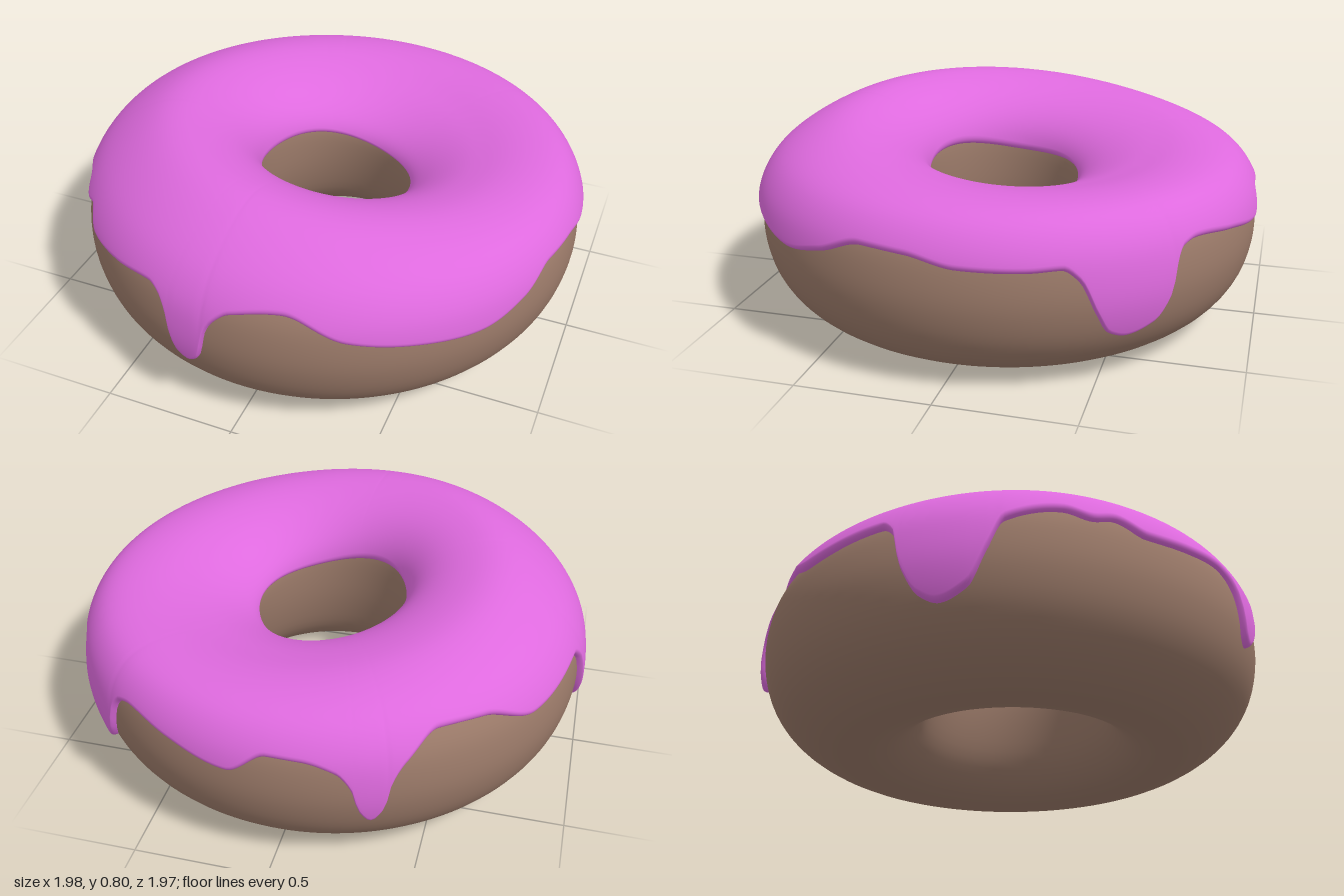
import * as THREE from 'three';

const { lerp, smoothstep } = THREE.MathUtils;
const RAD = Math.PI / 180, COLS = 480;

// dough cross-section (radius, height), counter-clockwise from the hole
const section = [
  [0.313, 0.42], [0.333, 0.26], [0.385, 0.12], [0.48, 0.03], [0.6, 0.003], [0.73, 0.02],
  [0.86, 0.1], [0.935, 0.2], [0.97, 0.32], [0.97, 0.43], [0.945, 0.53], [0.885, 0.612],
  [0.785, 0.668], [0.65, 0.695], [0.5, 0.668], [0.385, 0.605], [0.325, 0.53],
];
const N = section.length;
const profile = new THREE.CatmullRomCurve3(section.map(([r, y]) => new THREE.Vector3(r, y, 0)), true);

// lower edge of the icing: azimuth in degrees (0 = front, 90 = left side), height
const edge = [
  [-20, 0.525], [-17, 0.505], [-14.5, 0.45], [-13, 0.35], [-11.8, 0.3], [-9.5, 0.275], [-7.3, 0.3],
  [-6.2, 0.35], [-5, 0.44], [-3, 0.49], [0, 0.525], [11, 0.555], [24, 0.475], [38, 0.44], [52, 0.42],
  [64, 0.46], [74, 0.515], [84, 0.51], [95, 0.48], [108, 0.475], [115, 0.48], [118.5, 0.44],
  [122, 0.32], [125, 0.24], [129, 0.218], [135, 0.25], [138, 0.33], [140, 0.45], [142, 0.49],
  [146, 0.505], [158, 0.48], [172, 0.445], [180, 0.52], [187, 0.515], [194, 0.48], [197, 0.42],
  [198.5, 0.33], [201, 0.275], [203.5, 0.33], [205, 0.43], [208, 0.5], [216, 0.58], [227, 0.57],
  [240, 0.5], [261, 0.525], [264.5, 0.48], [267, 0.33], [270, 0.24], [274, 0.21], [280, 0.25],
  [284, 0.38], [287, 0.49], [299, 0.55], [305, 0.52], [310, 0.54], [317, 0.49], [329, 0.505], [340, 0.525],
];

// chord slope between edge points, and a slope at each point that never overshoots
const chord = i => (edge[i + 1][1] - edge[i][1]) / (edge[i + 1][0] - edge[i][0]);
const slopes = edge.map((_, i) => {
  if (i === 0 || i === edge.length - 1) return 0;
  const a = chord(i - 1), b = chord(i);
  return a * b > 0 ? (2 * a * b) / (a + b) : 0;
});

function edgeHeight(deg) {
  const d = deg >= 340 ? deg - 360 : deg;
  const i = edge.findIndex(([a], k) => k > 0 && d <= a);
  const [a0, y0] = edge[i - 1], [a1, y1] = edge[i];
  const w = a1 - a0, s = (d - a0) / w, s2 = s * s, s3 = s2 * s;
  return y0 * (2 * s3 - 3 * s2 + 1) + y1 * (3 * s2 - 2 * s3)
    + w * (slopes[i - 1] * (s3 - 2 * s2 + s) + slopes[i] * (s3 - s2));
}

// the crown is tallest at the front right and sinks to the back left
const lift = (r, y, a) =>
  y + 0.088 * Math.cos(a + 48 * RAD) * smoothstep(y, 0.3, 0.7) * (1 - smoothstep(r, 0.55, 1));

// point on the ring at azimuth a and section parameter u, pushed out by an offset
function ringPoint(a, u, offset) {
  const p = profile.getPoint(u), t = profile.getTangent(u);
  const r = p.x + t.y * offset, y = p.y - t.x * offset;
  const shift = 1 - smoothstep(r, 0.3, 0.65); // the hole sits slightly off centre
  return [r * Math.sin(a) + 0.015 * shift, lift(r, y, a), r * Math.cos(a) + 0.018 * shift];
}

// mesh closed around the ring; column(a) returns the points of one section
function ringMesh(name, color, column, closed) {
  const pos = [], index = [];
  let rows = 0;
  for (let i = 0; i < COLS; i++) {
    const pts = column((i / COLS) * 2 * Math.PI);
    rows = pts.length;
    pts.forEach(p => pos.push(...p));
  }
  for (let i = 0; i < COLS; i++) {
    const n = (i + 1) % COLS;
    for (let j = 0; j < (closed ? rows : rows - 1); j++) {
      const k = (j + 1) % rows;
      const a = i * rows + j, b = n * rows + j, c = n * rows + k, d = i * rows + k;
      index.push(a, b, c, a, c, d);
    }
  }
  const geo = new THREE.BufferGeometry();
  geo.setAttribute('position', new THREE.Float32BufferAttribute(pos, 3));
  geo.setIndex(index);
  geo.computeVertexNormals();
  const mesh = new THREE.Mesh(geo, new THREE.MeshStandardMaterial({ color }));
  mesh.name = name;
  return mesh;
}

function doughColumn(a) {
  return Array.from({ length: 64 }, (_, j) => ringPoint(a, j / 64, 0));
}

function icingColumn(a) {
  // find where the outer wall reaches the edge height
  const target = edgeHeight(a / RAD);
  let lo = 6 / N, hi = 12.5 / N;
  for (let k = 0; k < 24; k++) {
    const mid = (lo + hi) / 2, p = profile.getPoint(mid);
    if (lift(p.x, p.y, a) < target) lo = mid; else hi = mid;
  }
  const outer = lo, inner = (16.35 + 0.1 * Math.sin(3 * a)) / N;
  const lip = 0.012, thick = 0.025, pts = [ringPoint(a, outer, -0.006)];
  // rounded lower lip, the sheet itself, rounded lip in the hole
  for (let k = 0; k < 6; k++) {
    const f = (k / 6) * Math.PI / 2;
    pts.push(ringPoint(a, outer + lip * (1 - Math.cos(f)), thick * Math.sin(f)));
  }
  for (let k = 0; k <= 44; k++) pts.push(ringPoint(a, lerp(outer + lip, inner - lip, k / 44), thick));
  for (let k = 5; k >= 0; k--) {
    const f = (k / 6) * Math.PI / 2;
    pts.push(ringPoint(a, inner - lip * (1 - Math.cos(f)), thick * Math.sin(f)));
  }
  pts.push(ringPoint(a, inner, -0.006));
  return pts;
}

export function createModel() {
  const group = new THREE.Group();
  group.name = 'donut';
  group.add(ringMesh('dough', 0x9b7a69, doughColumn, true));
  group.add(ringMesh('icing', 0xde6ade, icingColumn, false));
  return group;
}
